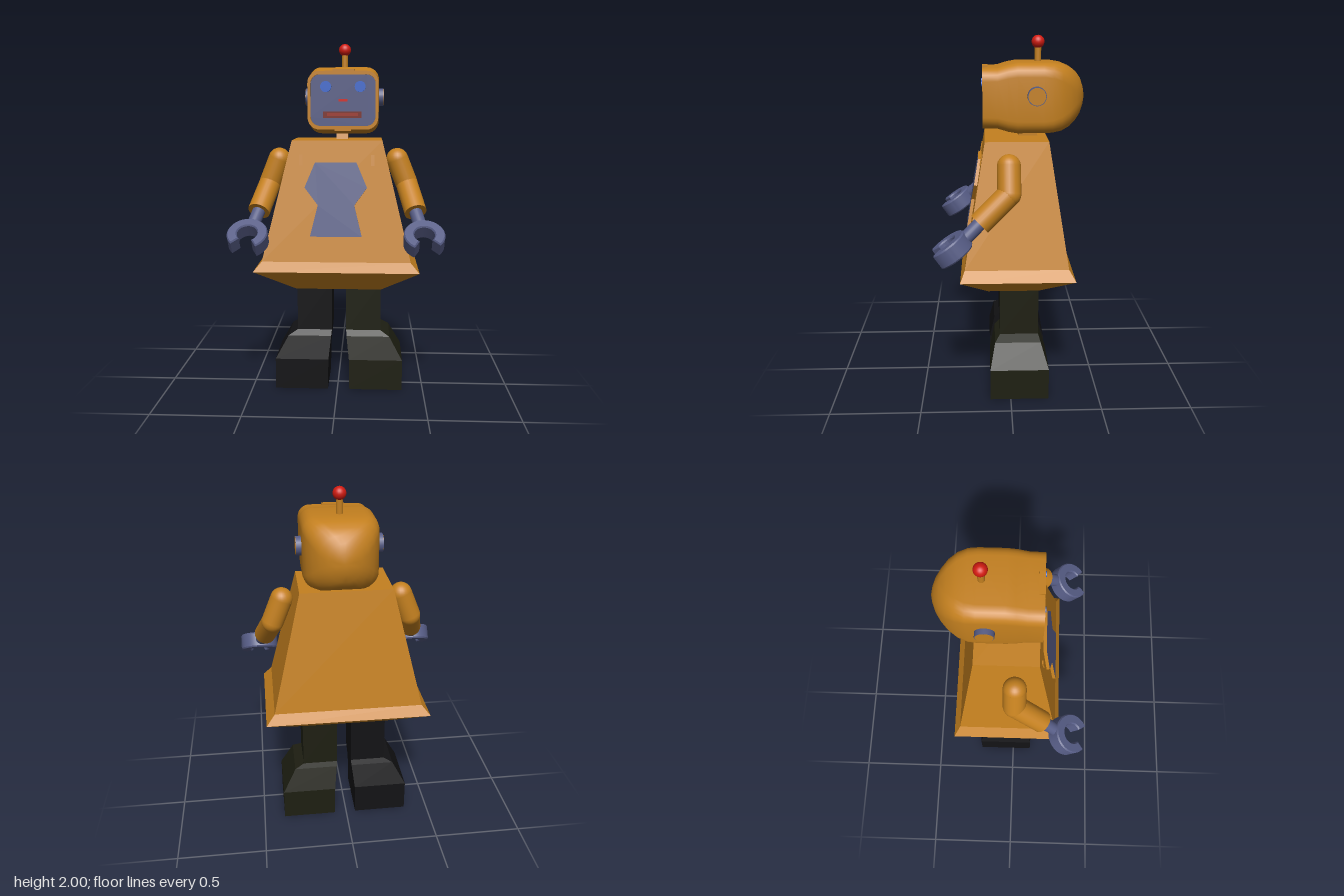
import * as THREE from 'three';
import { toCreasedNormals } from 'three/addons/utils/BufferGeometryUtils.js';

const mat = (color) => new THREE.MeshStandardMaterial({ color });
const V = (x, y, z) => new THREE.Vector3(x, y, z);

// Skin over closed rings of points, capped at both ends
function skin(rings, crease) {
  const pos = [], idx = [], n = rings[0].length, last = rings.length - 1;
  rings.forEach((r) => r.forEach((p) => pos.push(p.x, p.y, p.z)));
  for (let i = 0; i < last; i++) {
    for (let j = 0; j < n; j++) {
      const k = (j + 1) % n, a = i * n, b = a + n;
      idx.push(a + j, a + k, b + k, a + j, b + k, b + j);
    }
  }
  for (let j = 1; j < n - 1; j++) {
    idx.push(0, j + 1, j, last * n, last * n + j, last * n + j + 1);
  }
  const g = new THREE.BufferGeometry();
  g.setAttribute('position', new THREE.Float32BufferAttribute(pos, 3));
  g.setIndex(idx);
  return toCreasedNormals(g, crease);
}

// Stack of rectangles: [y, x0, x1, z0, z1], from the bottom up
const boxLoft = (levels) => skin(levels.map(([y, x0, x1, z0, z1]) =>
  [V(x0, y, z0), V(x0, y, z1), V(x1, y, z1), V(x1, y, z0)]), 0.05);

// Rounded rectangle ring in the plane of constant z
function roundRing(z, hw, hh, radius) {
  const r = Math.min(radius, hw, hh), ring = [];
  for (let c = 0; c < 4; c++) {
    const sx = c === 0 || c === 3 ? 1 : -1, sy = c < 2 ? 1 : -1;
    for (let i = 0; i <= 6; i++) {
      const a = (c + i / 6) * Math.PI / 2;
      ring.push(V(sx * (hw - r) + r * Math.cos(a), sy * (hh - r) + r * Math.sin(a), z));
    }
  }
  return ring;
}

export function createModel() {
  const model = new THREE.Group();
  const orange = mat(0xc4801f), grey = mat(0x565c85), red = mat(0xd01a10);
  const darkRed = mat(0x7a2a22), blue = mat(0x3a66cc);

  const add = (parent, name, geo, material, x = 0, y = 0, z = 0) => {
    const m = new THREE.Mesh(geo, material);
    m.name = name;
    m.position.set(x, y, z);
    parent.add(m);
    return m;
  };
  const box = (w, h, d) => new THREE.BoxGeometry(w, h, d);
  // Cylinder between two points
  const rod = (parent, name, a, b, r, material) => {
    const d = b.clone().sub(a);
    const m = add(parent, name, new THREE.CylinderGeometry(r, r, d.length(), 24), material);
    m.position.copy(a).add(b).multiplyScalar(0.5);
    m.quaternion.setFromUnitVectors(V(0, 1, 0), d.normalize());
  };

  // Skirted body
  add(model, 'body', boxLoft([
    [0.61, -0.235, 0.25, -0.16, 0.125],
    [0.74, -0.46, 0.458, -0.345, 0.272],
    [0.795, -0.413, 0.41, -0.31, 0.248],
    [1.458, -0.252, 0.25, -0.207, 0.135],
  ]), orange);

  // Chest plate and slots lie on the sloping front
  const slope = Math.atan2(0.248 - 0.135, 1.458 - 0.795);
  const frontZ = (y) => 0.135 + (1.458 - y) * Math.tan(slope);
  const outline = [[-0.12, 1.337], [-0.177, 1.2], [-0.103, 1.105], [-0.145, 0.934],
    [0.14, 0.934], [0.098, 1.105], [0.167, 1.2], [0.108, 1.337]];
  const plateShape = new THREE.Shape(outline.map(([x, y]) =>
    new THREE.Vector2(x, (y - 1.13) / Math.cos(slope))));
  const plate = add(model, 'chestPlate', new THREE.ExtrudeGeometry(plateShape,
    { depth: 0.018, bevelEnabled: false }), [grey, orange], 0, 1.13, frontZ(1.13));
  plate.rotation.x = -slope;
  for (const x of [-0.2, 0.197]) {
    add(model, 'chestSlot', box(0.02, 0.06, 0.012), orange, x, 1.35, frontZ(1.35)).rotation.x = -slope;
  }

  // Legs with flared boots
  for (const s of [-1, 1]) {
    const level = (y, inner, outer, z0, z1) =>
      [y, ...(s > 0 ? [inner, outer] : [-outer, -inner]), z0, z1];
    add(model, s > 0 ? 'leftLeg' : 'rightLeg', boxLoft([
      level(0, 0.063, 0.37, -0.215, 0.115),
      level(0.18, 0.06, 0.37, -0.215, 0.115),
      level(0.315, 0.045, 0.295, -0.172, 0.087),
      level(0.345, 0.042, 0.243, -0.16, 0.058),
      level(0.63, 0.042, 0.243, -0.16, 0.058),
    ]), mat(s > 0 ? 0x1e1f12 : 0x131315), 0.0075);
  }

  // Claw outline: a ring open towards +y
  const claw = new THREE.Shape();
  const gap = 0.66, from = Math.PI / 2 + gap, to = Math.PI / 2 - gap;
  claw.absarc(0, 0, 0.11, from, to + Math.PI * 2, false);
  claw.absarc(0, 0, 0.055, to + Math.PI * 2, from, true);
  const clawGeo = toCreasedNormals(new THREE.ExtrudeGeometry(claw,
    { depth: 0.074, bevelEnabled: true, bevelSize: 0.006, bevelOffset: -0.006,
      bevelThickness: 0.008, bevelSegments: 1, curveSegments: 20 })
    .translate(0, 0, -0.037), 0.5);

  // Arms
  for (const s of [-1, 1]) {
    const arm = new THREE.Group();
    arm.name = s > 0 ? 'leftArm' : 'rightArm';
    const shoulder = V(s * 0.337, 1.347, 0.01), elbow = V(s * 0.392, 1.21, 0.01);
    const wrist = V(s * 0.437, 1.065, 0.165), hand = V(s * 0.475, 0.94, 0.315);
    add(arm, 'shoulder', new THREE.SphereGeometry(0.063, 24, 16), orange).position.copy(shoulder);
    add(arm, 'elbow', new THREE.SphereGeometry(0.063, 24, 16), orange).position.copy(elbow);
    rod(arm, 'upperArm', shoulder, elbow, 0.063, orange);
    rod(arm, 'forearm', elbow, wrist, 0.062, orange);
    const along = V(s * 0.14, -0.57, 0.82).normalize();
    rod(arm, 'wrist', wrist, hand.clone().addScaledVector(along, -0.08), 0.036, grey);
    const across = V(1, 0, 0).addScaledVector(along, -along.x).normalize();
    const up = across.clone().cross(along);
    const m = add(arm, 'clawHand', clawGeo, grey);
    m.quaternion.setFromRotationMatrix(new THREE.Matrix4().makeBasis(across, along, up));
    m.position.copy(hand);
    model.add(arm);
  }

  // Neck
  add(model, 'neck', boxLoft([[1.45, -0.013, 0.055, -0.16, -0.05],
    [1.51, -0.013, 0.055, -0.145, -0.065]]), orange);

  // Head: rounded sections from the back to the rim, then into the face recess
  const head = new THREE.Group();
  head.name = 'head';
  head.position.set(0.032, 1.676, 0);
  model.add(head);
  const sections = [
    [-0.412, 0.004, 0.004, 0.1], [-0.402, 0.045, 0.055, 0.1], [-0.386, 0.085, 0.1, 0.1],
    [-0.36, 0.122, 0.133, 0.1], [-0.325, 0.154, 0.16, 0.095], [-0.28, 0.18, 0.178, 0.085],
    [-0.23, 0.195, 0.185, 0.075], [-0.18, 0.198, 0.186, 0.07], [-0.04, 0.198, 0.186, 0.07],
    [0.01, 0.197, 0.177, 0.068], [0.065, 0.195, 0.16, 0.065], [0.145, 0.194, 0.158, 0.065],
    [0.145, 0.178, 0.139, 0.05], [0.122, 0.178, 0.139, 0.05]];
  add(head, 'headShell', skin(sections.map((a) => roundRing(...a)), 0.75), orange);
  add(head, 'faceScreen', new THREE.ShapeGeometry(
    new THREE.Shape(roundRing(0, 0.178, 0.139, 0.05))), grey, 0, 0, 0.125);
  add(head, 'topTab', box(0.12, 0.02, 0.03), orange, 0.004, 0.157, 0.13);
  add(head, 'bottomTab', box(0.09, 0.02, 0.03), orange, 0, -0.155, 0.13);

  // Face
  const disc = (r, d) => new THREE.CylinderGeometry(r, r, d, 24).rotateX(Math.PI / 2);
  for (const s of [-1, 1]) {
    add(head, 'eye', disc(0.03, 0.022), blue, s * 0.094, 0.074, 0.134);
    add(head, 'pupil', disc(0.014, 0.01), blue, s * 0.094, 0.074, 0.147);
  }
  add(head, 'nose', box(0.05, 0.012, 0.012), red, 0, 0, 0.13);
  add(head, 'mouth', box(0.21, 0.034, 0.014), darkRed, -0.003, -0.077, 0.131);
  add(head, 'mouthBar', box(0.17, 0.016, 0.008), mat(0x9a3226), -0.003, -0.077, 0.137);

  // Ears with thin coloured caps
  for (const s of [-1, 1]) {
    const ear = (name, r, d, material, x) => add(head, name,
      new THREE.CylinderGeometry(r, r, d, 20).rotateZ(Math.PI / 2), material, s * x, 0.02, -0.14);
    ear('ear', 0.05, 0.05, grey, 0.201);
    ear('earCap', 0.046, 0.002, orange, 0.227);
  }

  // Antenna
  add(head, 'antennaRod', new THREE.CylinderGeometry(0.018, 0.018, 0.1, 16), orange, 0, 0.225, -0.157);
  add(head, 'antennaBall', new THREE.SphereGeometry(0.035, 24, 16), red, 0, 0.289, -0.157);

  return model;
}
